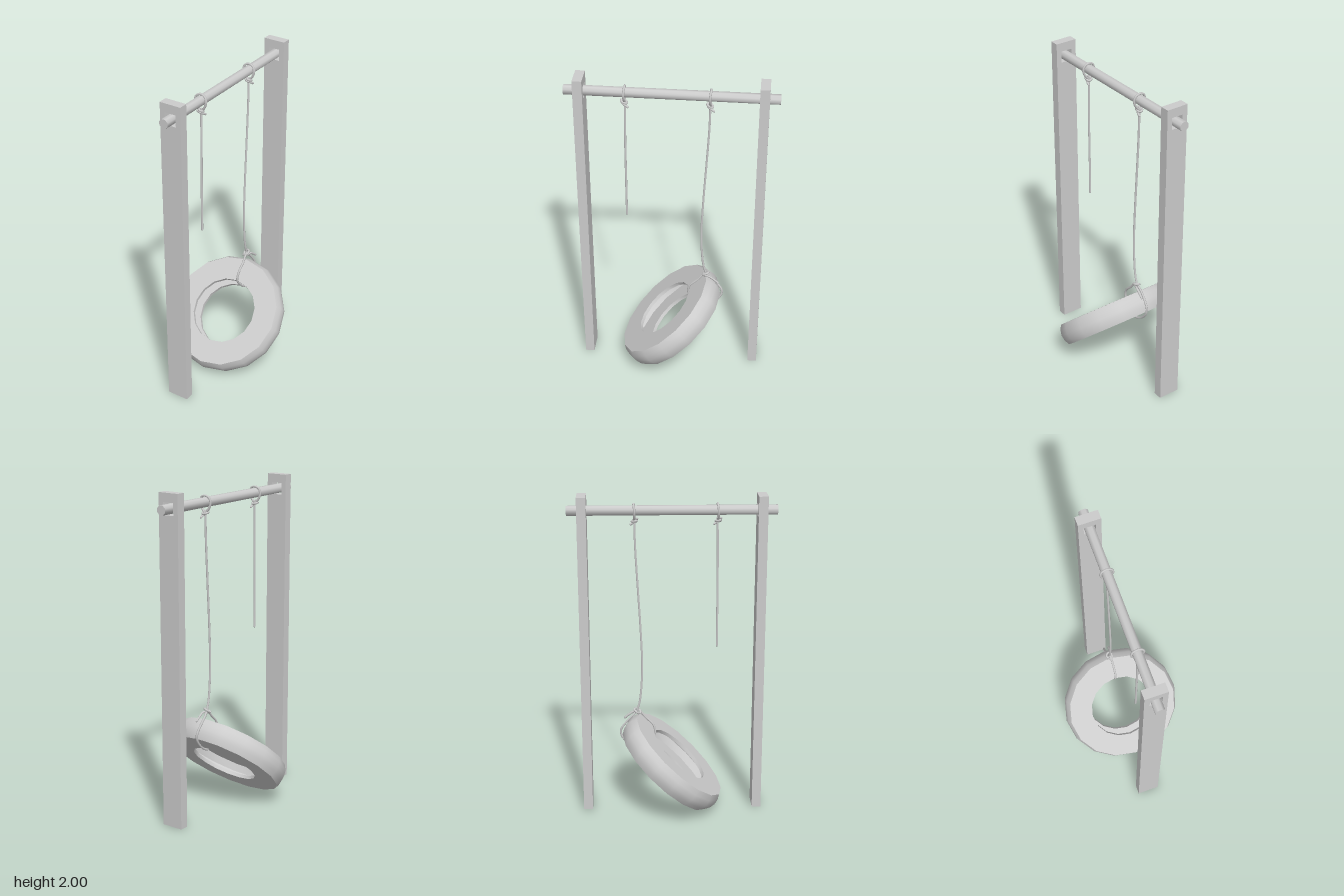
import * as THREE from 'three';
import { toCreasedNormals } from 'three/addons/utils/BufferGeometryUtils.js';

const material = new THREE.MeshStandardMaterial({ color: 0xcccccc });
const BAR_Y = 1.91;
const ROPE_R = 0.007;

function part(parent, name, geometry) {
  const mesh = new THREE.Mesh(geometry, material);
  mesh.name = name;
  parent.add(mesh);
  return mesh;
}

// Rope along a smooth path of [x, y, z] points, with small rounded-off ends
function rope(parent, name, points, closed = false, segments = 48) {
  const pts = points.map((p) => new THREE.Vector3(...p));
  const curve = new THREE.CatmullRomCurve3(pts, closed);
  const group = new THREE.Group();
  group.name = name;
  parent.add(group);
  part(group, name + 'Strand', new THREE.TubeGeometry(curve, segments, ROPE_R, 6, closed));
  if (!closed) {
    for (const end of [pts[0], pts[pts.length - 1]]) {
      part(group, name + 'End', new THREE.SphereGeometry(ROPE_R, 6, 4)).position.copy(end);
    }
  }
}

// Upright plank with a square hole for the bar
function postGeometry() {
  const w = 0.068, depth = 0.056, s = 0.036;
  const shape = new THREE.Shape([
    new THREE.Vector2(-w, 0), new THREE.Vector2(w, 0),
    new THREE.Vector2(w, 2), new THREE.Vector2(-w, 2),
  ]);
  shape.holes.push(new THREE.Path([
    new THREE.Vector2(-s, BAR_Y - s), new THREE.Vector2(-s, BAR_Y + s),
    new THREE.Vector2(s, BAR_Y + s), new THREE.Vector2(s, BAR_Y - s),
  ]));
  return new THREE.ExtrudeGeometry(shape, { depth, bevelEnabled: false }).translate(0, 0, -depth / 2);
}

// Hollow tyre: closed C-shaped section, outside upwards then back through the cavity
function tyreGeometry() {
  const h = 0.0675, t = 0.022;
  const profile = [
    [0.21, -h], [0.357, -h], [0.374, -0.035], [0.38, 0], [0.374, 0.035], [0.357, h], [0.21, h],
    [0.21, h - t], [0.335, h - t], [0.352, 0], [0.335, t - h], [0.21, t - h], [0.21, -h],
  ].map(([r, y]) => new THREE.Vector2(r, y));
  return toCreasedNormals(new THREE.LatheGeometry(profile, 16), 0.55);
}

// Loop over the bar, with a wrapped knot and a short tail below it
function barHitch(parent, name, z) {
  const hitch = new THREE.Group();
  hitch.name = name;
  hitch.position.set(0, BAR_Y, z);
  parent.add(hitch);
  rope(hitch, 'barLoop', [
    [0, -0.06, 0], [0.026, -0.035, 0.002], [0.037, 0, 0.003], [0.026, 0.028, 0],
    [0, 0.038, -0.002], [-0.026, 0.028, 0], [-0.037, 0, 0.003], [-0.026, -0.035, 0.002],
  ], true);
  rope(hitch, 'knot', [
    [-0.012, -0.045, 0.004], [0.004, -0.052, 0.02], [0.017, -0.06, 0.006], [0.008, -0.068, -0.012],
    [-0.012, -0.064, -0.008], [-0.014, -0.06, 0.012], [0.002, -0.066, 0.016], [0.014, -0.078, -0.004],
    [0.016, -0.088, -0.02],
  ]);
}

export function createModel() {
  const swing = new THREE.Group();
  swing.name = 'tyreSwing';

  // Frame
  for (const side of [1, -1]) {
    part(swing, side > 0 ? 'frontPost' : 'backPost', postGeometry()).position.z = side * 0.532;
  }
  const bar = new THREE.CylinderGeometry(0.03, 0.03, 1.244, 8).rotateY(Math.PI / 8).rotateX(Math.PI / 2);
  part(swing, 'crossBar', toCreasedNormals(bar, 0.9)).position.y = BAR_Y;

  // Tyre leaning with its upper edge to the back
  const tyre = part(swing, 'tyre', tyreGeometry());
  tyre.position.y = 0.295;
  tyre.rotation.x = 0.735;

  // Broken rope hanging loose at the front
  barHitch(swing, 'frontHitch', 0.27);
  rope(swing, 'brokenRope', [[0, 1.86, 0.268], [0.002, 1.6, 0.272], [0, 1.3, 0.273], [0, 1.067, 0.273]]);

  // Whole rope at the back, bowing down to the tyre
  barHitch(swing, 'backHitch', -0.225);
  rope(swing, 'tyreRope', [
    [0, 1.86, -0.223], [0, 1.7, -0.22], [0, 1.45, -0.207], [0, 1.2, -0.193],
    [0, 0.95, -0.184], [0, 0.8, -0.19], [0, 0.7, -0.202], [0, 0.64, -0.22],
  ]);

  // Loop through the tyre, with its knot and loose tail
  rope(swing, 'tyreLoop', [
    [0.004, 0.645, -0.212], [0.008, 0.595, -0.165], [0.006, 0.54, -0.115], [0.002, 0.487, -0.108],
    [0, 0.43, -0.15], [0, 0.39, -0.2], [0, 0.408, -0.255], [0, 0.47, -0.312],
    [-0.002, 0.515, -0.32], [-0.006, 0.57, -0.285], [-0.006, 0.62, -0.24],
  ], true, 72);
  rope(swing, 'tyreKnot', [
    [-0.012, 0.63, -0.2], [0.01, 0.64, -0.198], [0.016, 0.652, -0.222], [-0.004, 0.652, -0.235],
    [-0.016, 0.636, -0.218], [0, 0.625, -0.205], [0.015, 0.632, -0.235], [0.018, 0.612, -0.268],
    [0.02, 0.59, -0.294],
  ]);

  return swing;
}
